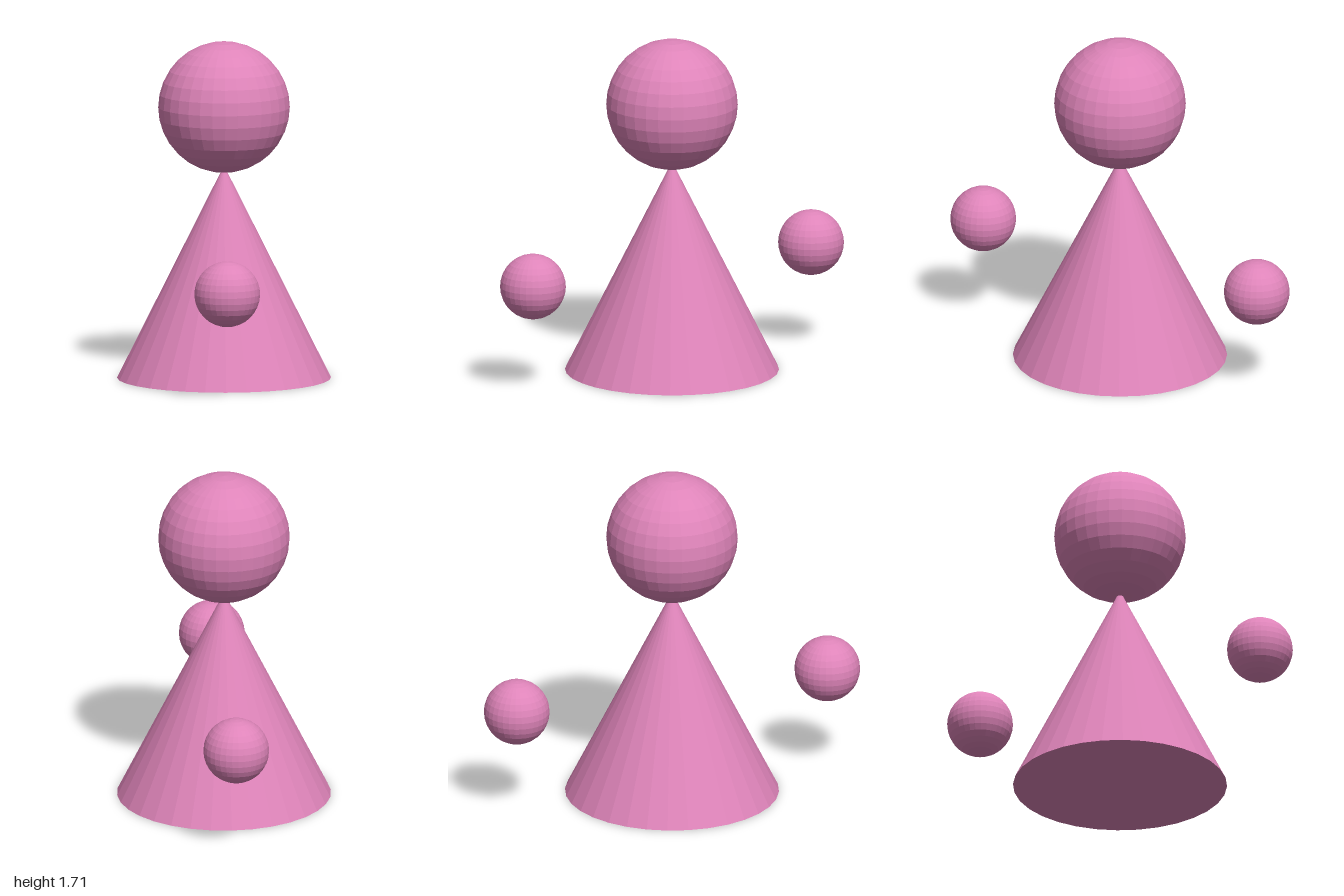
import * as THREE from 'three';

export function createModel() {
  const model = new THREE.Group();
  const material = new THREE.MeshStandardMaterial({ color: 0xde84b9, flatShading: true });

  const add = (name, geometry, y, z = 0) => {
    const mesh = new THREE.Mesh(geometry, material);
    mesh.name = name;
    mesh.position.set(0, y, z);
    model.add(mesh);
  };
  const ball = (radius) => new THREE.SphereGeometry(radius, 32, 16);

  // Conical body with its tip just inside the head
  const height = 1.08;
  add('body', new THREE.ConeGeometry(0.54, height, 32), height / 2);
  add('head', ball(0.332), 1.378);

  // Floating hands in front of and behind the body
  add('frontHand', ball(0.166), 0.545, 0.834);
  add('backHand', ball(0.166), 0.545, -0.834);

  return model;
}
